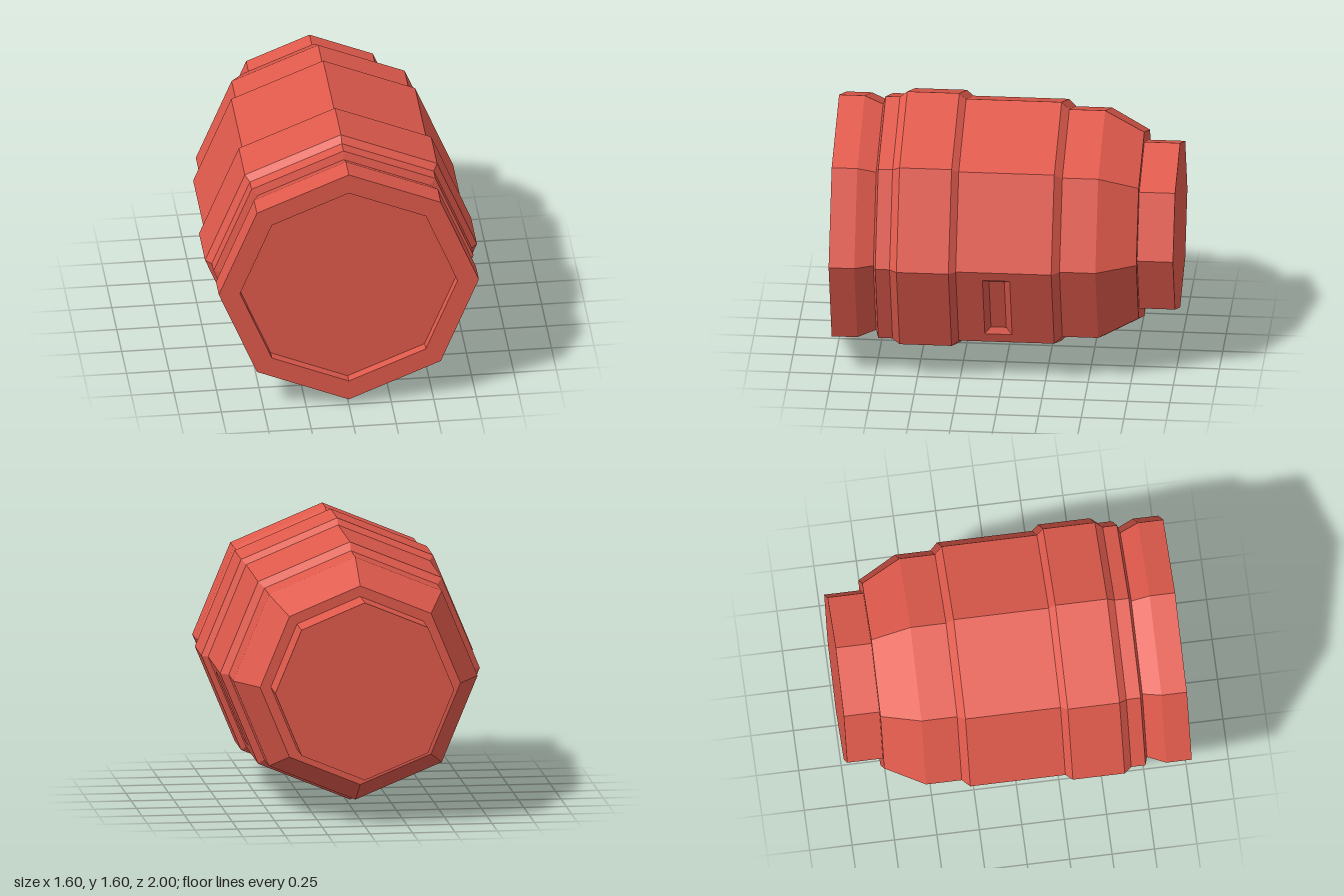
import * as THREE from 'three';

const CY = 0.8;       // height of the long axis
const R = 0.765;      // main corner radius
const Z0 = -0.305, Z1 = 0.255; // ends of the middle section

// Eight-sided turned section; profile is [radius, z] from back to front
function turned(name, profile, material, start = 0, sides = 8) {
  const points = profile.map(([r, z]) => new THREE.Vector2(r, z));
  const geometry = new THREE.LatheGeometry(points, sides, start, sides * Math.PI / 4);
  geometry.rotateX(Math.PI / 2);
  const mesh = new THREE.Mesh(geometry, material);
  mesh.name = name;
  mesh.position.y = CY;
  return mesh;
}

// One flat side of the middle section with a bevelled recess in it
function notchedSide(material) {
  const c = Math.cos(Math.PI / 8), s = Math.sin(Math.PI / 8);
  const length = 2 * R * s;
  // [front z, back z, top, bottom, depth]; top and bottom measured down the side
  const rings = [
    [Z1, Z0, 0, length, 0],
    [0.1, -0.06, 0.065, 0.52, 0],
    [0.065, -0.025, 0.098, 0.487, 0.026],
  ];
  const positions = [], index = [];
  for (const [front, back, top, bottom, depth] of rings) {
    for (const [z, t] of [[front, top], [front, bottom], [back, bottom], [back, top]]) {
      positions.push(R - t * s - depth * c, -t * c + depth * s, z);
    }
  }
  for (let ring = 0; ring < 2; ring++) {
    for (let i = 0; i < 4; i++) {
      const a = ring * 4 + i, b = ring * 4 + (i + 1) % 4;
      index.push(a, b, b + 4, a, b + 4, a + 4);
    }
  }
  index.push(8, 9, 10, 8, 10, 11);
  const geometry = new THREE.BufferGeometry();
  geometry.setAttribute('position', new THREE.Float32BufferAttribute(positions, 3));
  geometry.setIndex(index);
  geometry.computeVertexNormals();
  const mesh = new THREE.Mesh(geometry, material);
  mesh.name = 'notchedSide';
  mesh.position.y = CY;
  return mesh;
}

export function createModel() {
  const group = new THREE.Group();
  group.name = 'canister';
  const red = new THREE.MeshStandardMaterial({ color: 0xe05a4c, flatShading: true });
  red.name = 'coral red';

  // Narrow plug closing the back
  group.add(turned('rearPlug', [[0, -1], [0.527, -1], [0.527, -0.79]], red));
  // Tapered shoulder behind the body
  group.add(turned('rearShoulder',
    [[0.5, -0.79], [0.59, -0.79], [0.72, -0.56], [0.72, -0.35], [R, Z0]], red));
  // Middle body: seven plain sides and one notched side
  group.add(turned('body', [[R, Z0], [R, Z1]], red, Math.PI / 2, 7));
  group.add(notchedSide(red));
  // Raised band
  group.add(turned('raisedBand',
    [[R, Z1], [0.8, 0.295], [0.8, 0.6], [R, 0.643], [R, 0.727]], red));
  // Groove, front collar and its shallow recessed face
  group.add(turned('frontCollar',
    [[R, 0.727], [0.715, 0.742], [R, 0.85], [R, 1], [0.64, 1], [0.64, 0.94], [0, 0.94]], red));
  return group;
}
